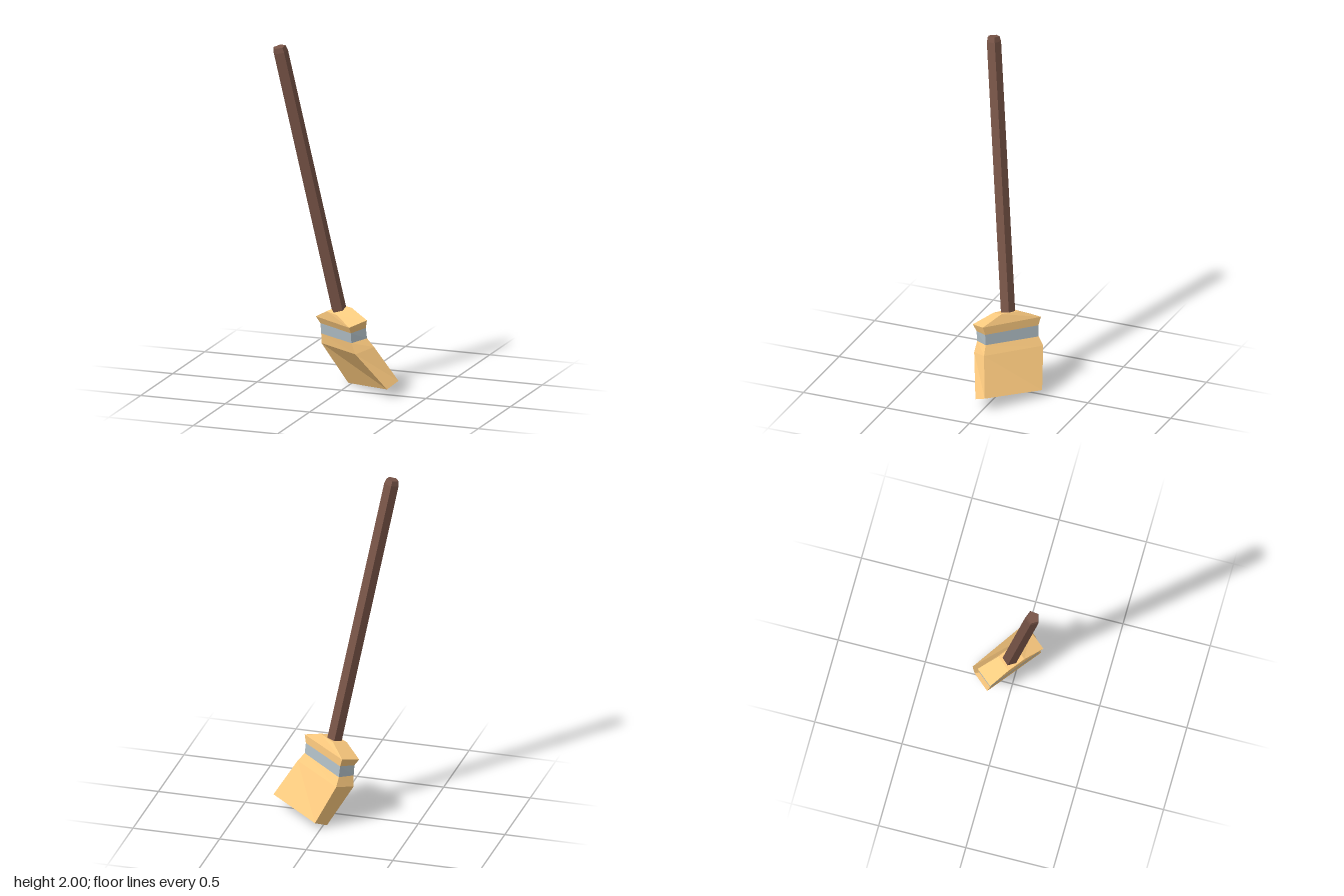
import * as THREE from 'three';

const material = (color) => new THREE.MeshStandardMaterial({ color, flatShading: true });

// Skin rings of points listed from bottom to top (counter-clockwise from above)
function loft(rings, capBottom, capTop) {
  const pos = [];
  const tri = (a, b, c) => pos.push(...a, ...b, ...c);
  for (let r = 0; r < rings.length - 1; r++) {
    const low = rings[r], up = rings[r + 1], n = low.length;
    for (let k = 0; k < n; k++) {
      const j = (k + 1) % n;
      tri(low[k], low[j], up[k]);
      tri(low[j], up[j], up[k]);
    }
  }
  const first = rings[0], last = rings[rings.length - 1];
  for (let k = 1; k < first.length - 1; k++) {
    if (capBottom) tri(first[0], first[k + 1], first[k]);
    if (capTop) tri(last[0], last[k], last[k + 1]);
  }
  const geo = new THREE.BufferGeometry();
  geo.setAttribute('position', new THREE.Float32BufferAttribute(pos, 3));
  geo.computeVertexNormals();
  return geo;
}

export function createModel() {
  const group = new THREE.Group();
  const straw = material(0xffcc80), metal = material(0xb0bec5), wood = material(0x795548);
  const add = (name, geo, mat) => {
    const mesh = new THREE.Mesh(geo, mat);
    mesh.name = name;
    group.add(mesh);
  };

  // Head cross-sections: left end front, right end front, right end back, left end back
  const tip = [[-0.02, 0.0, -0.16], [0.29, 0.045, 0.053], [0.33, 0.08, -0.02], [0.027, 0.04, -0.236]];
  const bend = [[-0.158, 0.23, -0.103], [0.131, 0.25, 0.129], [0.207, 0.277, 0.037], [-0.084, 0.257, -0.195]];
  const bandLow = [[-0.153, 0.29, -0.087], [0.105, 0.31, 0.122], [0.168, 0.325, 0.044], [-0.09, 0.305, -0.165]];
  const bandHigh = [[-0.156, 0.35, -0.082], [0.103, 0.368, 0.127], [0.163, 0.385, 0.049], [-0.096, 0.37, -0.16]];
  const shoulder = [[-0.182, 0.387, -0.079], [0.102, 0.405, 0.15], [0.173, 0.432, 0.059], [-0.111, 0.417, -0.17]];
  const crown = [[-0.088, 0.445, 0.0], [0.0, 0.447, 0.068], [0.059, 0.477, -0.005], [-0.03, 0.47, -0.073]];

  add('bristles', loft([tip, bend, bandLow], true, false), straw);
  add('binding', loft([bandLow, bandHigh], false, false), metal);
  add('headTop', loft([bandHigh, shoulder, crown], false, true), straw);

  // Five-sided leaning handle with a bevelled end
  const bottom = new THREE.Vector3(-0.012, 0.42, -0.014);
  const top = new THREE.Vector3(-0.294, 1.992, 0.196);
  const axis = top.clone().sub(bottom).normalize();
  const ring = (t, radius) => {
    const c = bottom.clone().lerp(top, t);
    return Array.from({ length: 5 }, (_, i) => {
      const a = THREE.MathUtils.degToRad(184 - 72 * i);
      const dx = Math.cos(a) * radius, dz = Math.sin(a) * radius;
      return [c.x + dx, c.y - (axis.x * dx + axis.z * dz) / axis.y, c.z + dz];
    });
  };
  add('handle', loft([ring(0, 0.042), ring(0.982, 0.042), ring(1, 0.035)], true, true), wood);

  return group;
}
